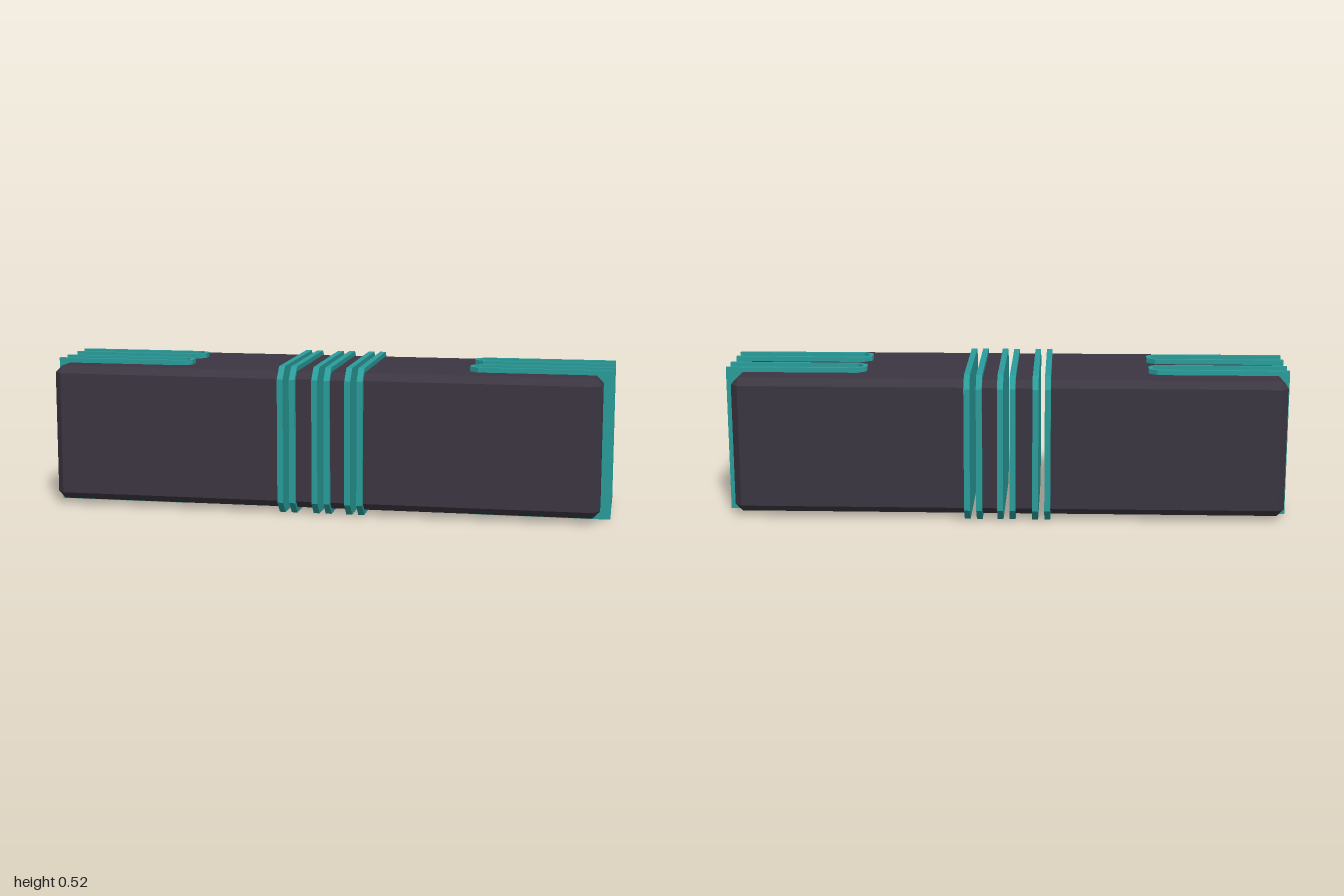
import * as THREE from 'three';
import { ConvexGeometry } from 'three/addons/geometries/ConvexGeometry.js';

const dark = new THREE.MeshStandardMaterial({ color: 0x3b3641, flatShading: true });
const teal = new THREE.MeshStandardMaterial({ color: 0x2a9d9b, flatShading: true });

const H = 0.523;                       // trim height
const Y0 = 0.02, Y1 = 0.506;           // body bottom and top
const ZB = -0.256, ZF = 0.262;         // body back and front
const C = 0.025;                       // bevel width
const SLOTS = [[-0.137, -0.04], [0.055, 0.152]];
const SHOULDER_X = 0.03, SHOULDER_Z = 0.025;

// Convex piece of the bevelled body between two x stations {x, z0, z1, end}.
// Only the true outer faces of the body are bevelled; cut faces stay square.
function bodyPiece(a, b) {
  const pts = [];
  for (const [s, o] of [[a, b], [b, a]]) {
    for (const [z, inZ] of [[s.z0, 1], [s.z1, -1]]) {
      for (const [y, inY] of [[Y0, 1], [Y1, -1]]) {
        const dx = s.end ? C * Math.sign(o.x - s.x) : 0;
        const dz = z === ZB || z === ZF ? C * inZ : 0;
        const dy = C * inY;
        if (!dx && !dz) {
          pts.push(new THREE.Vector3(s.x, y, z));
          continue;
        }
        pts.push(new THREE.Vector3(s.x + dx, y, z + dz));
        if (dz) pts.push(new THREE.Vector3(s.x + dx, y + dy, z));
        if (dx) pts.push(new THREE.Vector3(s.x, y + dy, z + dz));
      }
    }
  }
  return new ConvexGeometry(pts);
}

// U-shaped wall around a slot, open at the outer end, running full height.
function slotLiner(side, xe, z0, z1) {
  const t = 0.014;
  const half = [[1, 0], [xe + SHOULDER_X, 0], [xe, SHOULDER_Z]];
  const inner = [[xe + 0.015, 0.032], [xe + 0.035, t], [1, t]];
  const low = (p) => new THREE.Vector2(side * p[0], z0 + p[1]);
  const high = (p) => new THREE.Vector2(side * p[0], z1 - p[1]);
  const shape = new THREE.Shape([
    ...half.map(low), ...[...half].reverse().map(high),
    ...[...inner].reverse().map(high), ...inner.map(low),
  ]);
  const g = new THREE.ExtrudeGeometry(shape, { depth: H, bevelEnabled: false });
  return g.rotateX(Math.PI / 2).translate(0, H, 0);
}

// Octagonal plate standing across the body.
function bandPlate(x, width) {
  const w = 0.28, c = 0.042;
  const shape = new THREE.Shape([
    [-w + c, 0], [w - c, 0], [w, c], [w, H - c],
    [w - c, H], [-w + c, H], [-w, H - c], [-w, c],
  ].map(([z, y]) => new THREE.Vector2(z, y)));
  const g = new THREE.ExtrudeGeometry(shape, { depth: width, bevelEnabled: false });
  return g.rotateY(Math.PI / 2).translate(x - width / 2, 0, 0);
}

export function createModel() {
  const model = new THREE.Group();
  const add = (name, geometry, material, parent = model) => {
    const mesh = new THREE.Mesh(geometry, material);
    mesh.name = name;
    parent.add(mesh);
  };
  const full = (x) => ({ x, z0: ZB, z1: ZF, end: false });

  // Body blocks separated by the three gaps
  const body = new THREE.Group();
  body.name = 'body';
  model.add(body);
  for (const [x0, x1] of [[-0.505, -0.15], [-0.107, -0.027], [0.016, 0.09], [0.133, 0.5]]) {
    add('bodyBlock', bodyPiece(full(x0), full(x1)), dark, body);
  }

  // Slotted ends: three prongs each, flared at the root to meet the liners
  for (const [side, xe, xEnd] of [[-1, 0.505, 0.985], [1, 0.5, 0.965]]) {
    const edges = [ZB, ...SLOTS.flat(), ZF];
    for (let i = 0; i < 6; i += 2) {
      const z0 = edges[i], z1 = edges[i + 1];
      const root = {
        x: side * xe,
        z0: z0 === ZB ? z0 : z0 - SHOULDER_Z,
        z1: z1 === ZF ? z1 : z1 + SHOULDER_Z,
        end: false,
      };
      const neck = { x: side * (xe + SHOULDER_X), z0, z1, end: false };
      const tip = { x: side * xEnd, z0, z1, end: true };
      add('prongRoot', bodyPiece(root, neck), dark, body);
      add('prong', bodyPiece(neck, tip), dark, body);
    }
    for (const [z0, z1] of SLOTS) add('slotLiner', slotLiner(side, xe, z0, z1), teal);
  }

  // Three pairs of plates lining the gaps
  for (const x of [-0.128, -0.005, 0.112]) {
    for (const s of [-1, 1]) add('bandPlate', bandPlate(x + s * 0.0215, 0.021), teal);
  }
  return model;
}
